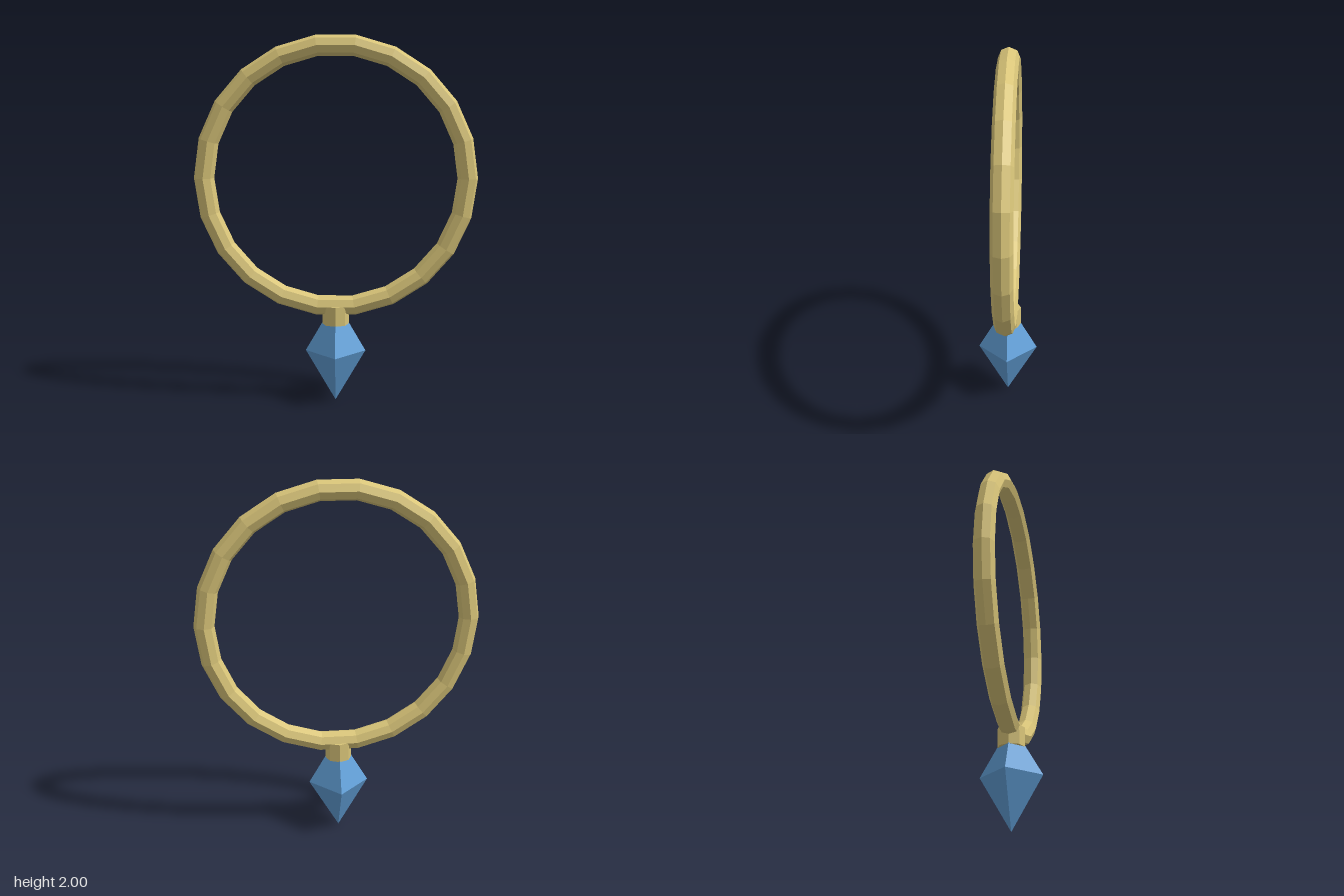
import * as THREE from 'three';

export function createModel() {
  const gold = new THREE.MeshStandardMaterial({ color: 0xd9c579, flatShading: true });
  gold.name = 'pale gold';
  const blue = new THREE.MeshStandardMaterial({ color: 0x62a0d8, flatShading: true });
  blue.name = 'crystal blue';

  const model = new THREE.Group();
  model.name = 'crystalPendantRing';

  const add = (name, geometry, material, y) => {
    const mesh = new THREE.Mesh(geometry, material);
    mesh.name = name;
    mesh.position.y = y;
    model.add(mesh);
    return mesh;
  };

  // Upright faceted hoop with an octagonal tube
  add('ring', new THREE.TorusGeometry(0.708, 0.055, 8, 22), gold, 1.245);

  // Short octagonal collar joining hoop and crystal
  add('collar', new THREE.CylinderGeometry(0.073, 0.073, 0.105, 8), gold, 0.4925);

  // Four-sided double-pointed crystal, its upper tip set into the collar
  const crystal = new THREE.OctahedronGeometry(0.165, 0);
  crystal.scale(1, 0.286 / 0.165, 1);
  add('crystal', crystal, blue, 0.286);

  return model;
}
